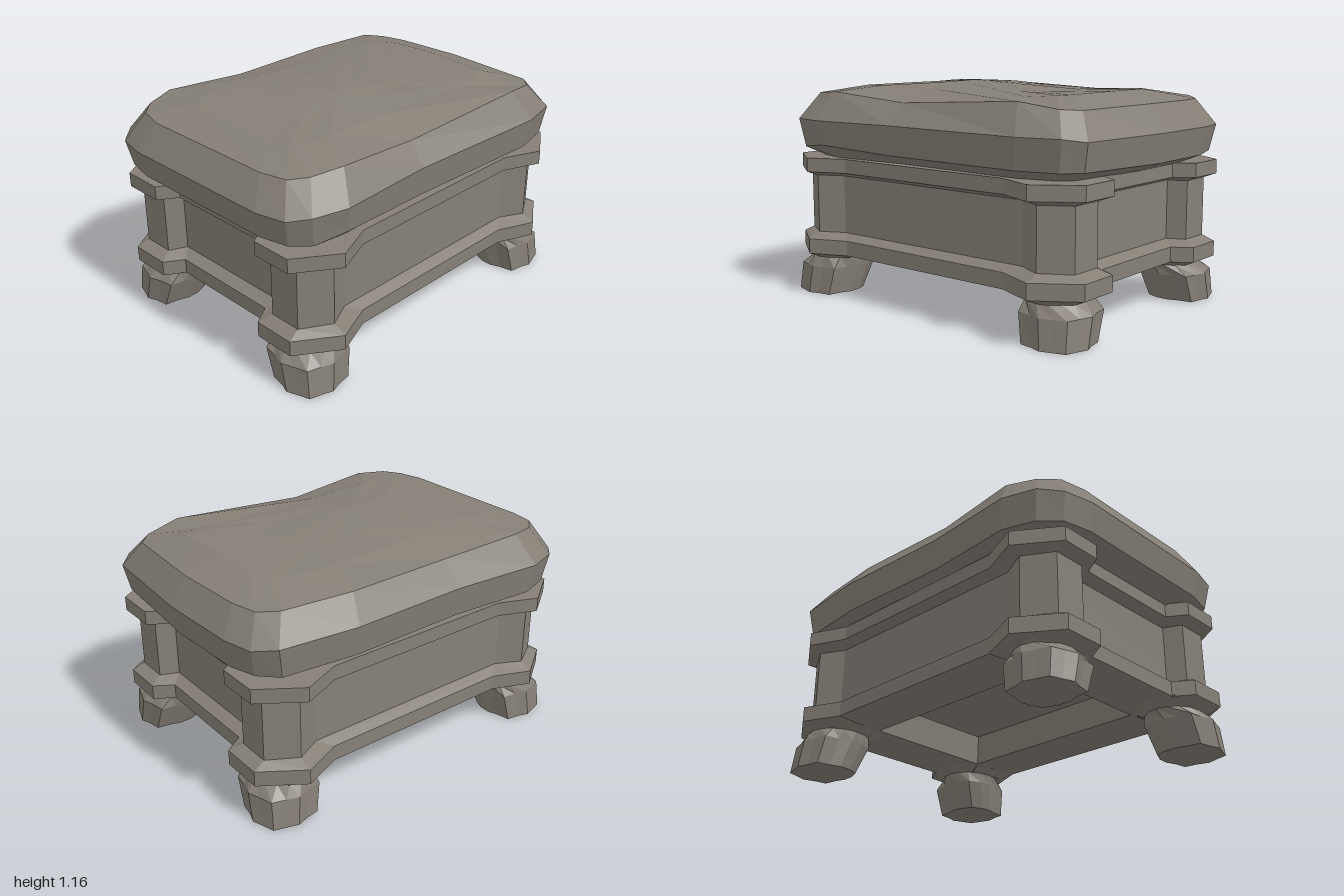
import * as THREE from 'three';

const stone = new THREE.MeshStandardMaterial({ color: 0x857f76 });
stone.name = 'warm grey';

// Closed solid through equal-length rings of [x, y, z], listed bottom to top
function loft(name, rings, topCentre) {
  const pos = [];
  const tri = (a, b, c) => pos.push(...a, ...b, ...c);
  const mean = (r) => [0, 1, 2].map((k) => r.reduce((s, p) => s + p[k], 0) / r.length);
  const n = rings[0].length, top = rings[rings.length - 1];
  const cb = mean(rings[0]), ct = topCentre || mean(top);
  for (let i = 0; i < n; i++) {
    const j = (i + 1) % n;
    tri(rings[0][i], rings[0][j], cb);
    tri(top[i], ct, top[j]);
    for (let k = 0; k + 1 < rings.length; k++) {
      const lo = rings[k], up = rings[k + 1];
      tri(lo[i], up[i], up[j]);
      tri(lo[i], up[j], lo[j]);
    }
  }
  const g = new THREE.BufferGeometry();
  g.setAttribute('position', new THREE.Float32BufferAttribute(pos, 3));
  g.computeVertexNormals(); // unshared corners keep every facet flat
  const mesh = new THREE.Mesh(g, stone);
  mesh.name = name;
  return mesh;
}

const level = (outline, y) => outline.map(([x, z]) => [x, y, z]);
const rect = (x, z) => [[-x, -z], [x, -z], [x, z], [-x, z]];

// Mirror rings into one corner, keeping the winding outward
function mirrorRings(rings, sx, sz) {
  return rings.map((r) => {
    const m = r.map(([x, y, z]) => [x * sx, y, z * sz]);
    return sx * sz < 0 ? m.reverse() : m;
  });
}

// Corner post: slim shaft with a moulded band at each end
function postRings() {
  const shaft = [[0.62, 0.4], [0.79, 0.366], [0.895, 0.41], [0.895, 0.586], [0.745, 0.673], [0.6, 0.6]];
  const band = [[0.58, 0.39], [0.86, 0.315], [0.96, 0.378], [0.96, 0.6], [0.745, 0.745], [0.54, 0.66]];
  return [[shaft, 0.2], [band, 0.23], [band, 0.31], [shaft, 0.34],
    [shaft, 0.65], [band, 0.675], [band, 0.75]].map(([o, y]) => level(o, y));
}

// Squarish fluted foot, splayed outward, grooved outside and flared under the frame
function footRings() {
  const n = 16;
  const ring = (y, cx, cz, rx, rz, power, groove) => Array.from({ length: n }, (_, i) => {
    const a = (i / n) * Math.PI * 2, c = Math.cos(a), s = Math.sin(a);
    const outer = Math.cos(a - Math.PI / 4) > -0.45;
    const square = (Math.abs(c) ** power + Math.abs(s) ** power) ** (-1 / power);
    const corner = i === 2 ? 0.94 : 1; // blunter outward corner
    const r = square * corner * (i % 2 && outer ? 1 - groove : 1);
    return [cx + c * rx * r, y, cz + s * rz * r];
  });
  return [
    ring(0, 0.795, 0.562, 0.16, 0.154, 3.2, 0.11),
    ring(0.145, 0.778, 0.525, 0.174, 0.177, 3.2, 0.11),
    ring(0.2, 0.748, 0.502, 0.15, 0.17, 2, 0),
    ring(0.235, 0.745, 0.485, 0.195, 0.22, 2, 0),
  ];
}

// Cushion: uneven rounded outline, bulging sides and a lumpy top
function cushion() {
  const wide = [
    [-1, -0.44], [-0.965, -0.6], [-0.87, -0.69], [-0.7, -0.745], [-0.2, -0.71], [0.45, -0.73],
    [0.86, -0.69], [0.95, -0.6], [0.985, -0.44], [1, 0], [0.96, 0.59], [0.88, 0.675],
    [0.66, 0.725], [-0.17, 0.695], [-0.7, 0.725], [-0.88, 0.68], [-0.965, 0.6], [-1, 0.44]];
  const hemY = wide.map(([x, z]) => (x > 0.98 ? 0.787 : x < -0.6 && z > 0.7 ? 0.82 : 0.797));
  const waistY = wide.map(([, z]) => (Math.abs(z) > 0.65 ? 0.95 : 0.935));
  const rimY = [1.08, 1.085, 1.09, 1.105, 1.08, 1.08, 1.08, 1.07, 1.07, 1.07, 1.065, 1.07, 1.1, 1.06, 1.1, 1.09, 1.08, 1.08];
  const topY = [1.125, 1.13, 1.135, 1.135, 1.13, 1.11, 1.12, 1.12, 1.125, 1.125, 1.12, 1.115, 1.105, 1.12, 1.13, 1.125, 1.125, 1.12];
  const crownY = [1.145, 1.145, 1.145, 1.147, 1.147, 1.13, 1.115, 1.115, 1.115, 1.115, 1.115, 1.115, 1.12, 1.145, 1.145, 1.14, 1.14, 1.145];
  const sized = (sx, sz, y) => wide.map(([x, z], i) => [x * sx, Array.isArray(y) ? y[i] : y, z * sz]);
  const rings = [
    sized(0.87, 0.85, 0.745),
    sized(0.97, 0.97, hemY),
    sized(1, 1, waistY),
    sized(0.912, 0.868, rimY),
    sized(0.72, 0.56, topY),
    sized(0.4, 0.28, crownY),
  ];
  return loft('cushion', rings, [-0.14, 1.16, 0.08]);
}

export function createModel() {
  const model = new THREE.Group();
  model.name = 'footstool';

  // Box body with moulded rails and a broad-framed hollow underside
  const inner = rect(0.54, 0.36), lip = rect(0.56, 0.375), rail = rect(0.86, 0.66), wall = rect(0.8, 0.605);
  model.add(loft('body', [[inner, 0.39], [lip, 0.23], [rail, 0.23], [rail, 0.31], [wall, 0.34],
    [wall, 0.65], [rail, 0.675], [rail, 0.75]].map(([o, y]) => level(o, y))));

  // Posts and feet at the four corners
  for (const sx of [-1, 1]) {
    for (const sz of [-1, 1]) {
      const where = (sz > 0 ? 'front' : 'back') + (sx > 0 ? 'Left' : 'Right');
      model.add(loft(where + 'Post', mirrorRings(postRings(), sx, sz)));
      model.add(loft(where + 'Foot', mirrorRings(footRings(), sx, sz)));
    }
  }

  model.add(cushion());
  return model;
}
